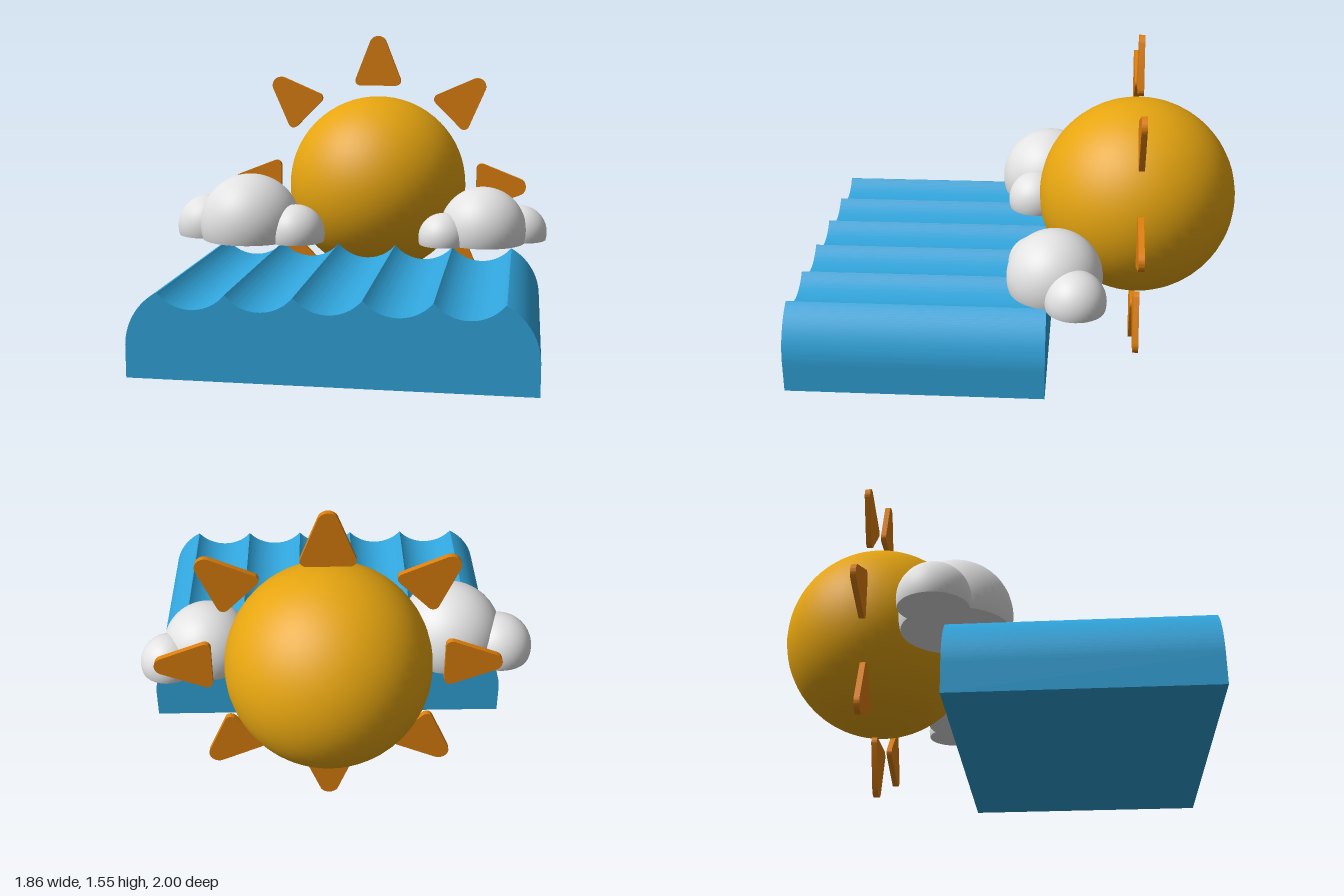
import * as THREE from 'three';
import { toCreasedNormals } from 'three/addons/utils/BufferGeometryUtils.js';

const material = (name, color) =>
  Object.assign(new THREE.MeshStandardMaterial({ color }), { name });

function addMesh(parent, name, geometry, mat, x = 0, y = 0, z = 0) {
  const mesh = new THREE.Mesh(geometry, mat);
  mesh.name = name;
  mesh.position.set(x, y, z);
  parent.add(mesh);
  return mesh;
}

// Triangle with rounded corners, pointing up and away from the sun's centre
function rayGeometry(depth) {
  const a = 0.378, s = new THREE.Shape();
  s.absarc(0.092, 0.547, 0.027, -Math.PI / 2, a);
  s.absarc(0, 0.732, 0.045, a, Math.PI - a);
  s.absarc(-0.092, 0.547, 0.027, Math.PI - a, Math.PI * 1.5);
  s.closePath();
  const g = new THREE.ExtrudeGeometry(s, { depth, bevelEnabled: false, curveSegments: 10 });
  return toCreasedNormals(g.translate(0, 0, -depth / 2), 0.5);
}

// Scalloped wave profile with rounded shoulders
function waterGeometry() {
  const left = -0.81, right = 0.897, base = 0.162, crest = 0.53;
  const first = -0.669, pitch = 0.285, sag = 0.067, waves = 5;
  const half = pitch / 2, r = (half * half + sag * sag) / (2 * sag);
  const open = Math.asin(half / r), R = 0.27, cy = 0.295;
  const shoulder = Math.asin((crest - cy) / R);
  const s = new THREE.Shape();
  s.moveTo(left, base);
  s.lineTo(right, base);
  s.absarc(right - R, cy, R, 0, shoulder);
  for (let i = waves - 1; i >= 0; i--) {
    const cx = first + (i + 0.5) * pitch;
    s.absarc(cx, crest - sag + r, r, -Math.PI / 2 + open, -Math.PI / 2 - open, true);
  }
  s.absarc(left + R, cy, R, Math.PI - shoulder, Math.PI);
  s.closePath();
  const g = new THREE.ExtrudeGeometry(s, { depth: 1.138, bevelEnabled: false, curveSegments: 20 });
  return toCreasedNormals(g.translate(0, 0, -0.138), 0.5);
}

// Cloud made of balls cut flat at a shared floor height
function makeCloud(name, puffs, mat) {
  const cloud = new THREE.Group(), floor = 0.556;
  cloud.name = name;
  for (const [x, y, z, r] of puffs) {
    const cut = Math.acos((floor - y) / r);
    addMesh(cloud, 'cloudPuff', new THREE.SphereGeometry(r, 40, 24, 0, Math.PI * 2, 0, cut), mat, x, y, z);
    const disc = new THREE.CircleGeometry(r * Math.sin(cut), 40).rotateX(Math.PI / 2);
    addMesh(cloud, 'cloudFloor', disc, mat, x, floor, z);
  }
  return cloud;
}

export function createModel() {
  const model = new THREE.Group();
  model.name = 'sunOverSea';
  const sunYellow = material('sunYellow', 0xe6a510);
  const rayOrange = material('rayOrange', 0xdd7f0c);
  const seaBlue = material('seaBlue', 0x31a5dc);
  const cloudWhite = material('cloudWhite', 0xe2e2e2);

  // Sun with a ring of eight flat rays
  const sun = new THREE.Group();
  sun.name = 'sun';
  sun.position.set(0.045, 0.778, -0.537);
  addMesh(sun, 'sunBall', new THREE.SphereGeometry(0.463, 48, 32), sunYellow);
  const ray = rayGeometry(0.026);
  for (let i = 0; i < 8; i++) {
    addMesh(sun, 'sunRay', ray, rayOrange, 0, 0, 0.003).rotation.z = (i * Math.PI) / 4;
  }
  model.add(sun);

  // Sea
  addMesh(model, 'sea', waterGeometry(), seaBlue);

  // Clouds: x, y, z, radius of each ball
  model.add(makeCloud('rightCloud', [
    [-0.543, 0.626, -0.107, 0.251],
    [-0.777, 0.599, -0.175, 0.158],
    [-0.299, 0.594, -0.044, 0.143],
  ], cloudWhite));
  model.add(makeCloud('leftCloud', [
    [0.617, 0.615, -0.167, 0.212],
    [0.797, 0.592, -0.262, 0.133],
    [0.427, 0.588, -0.07, 0.12],
  ], cloudWhite));

  return model;
}
